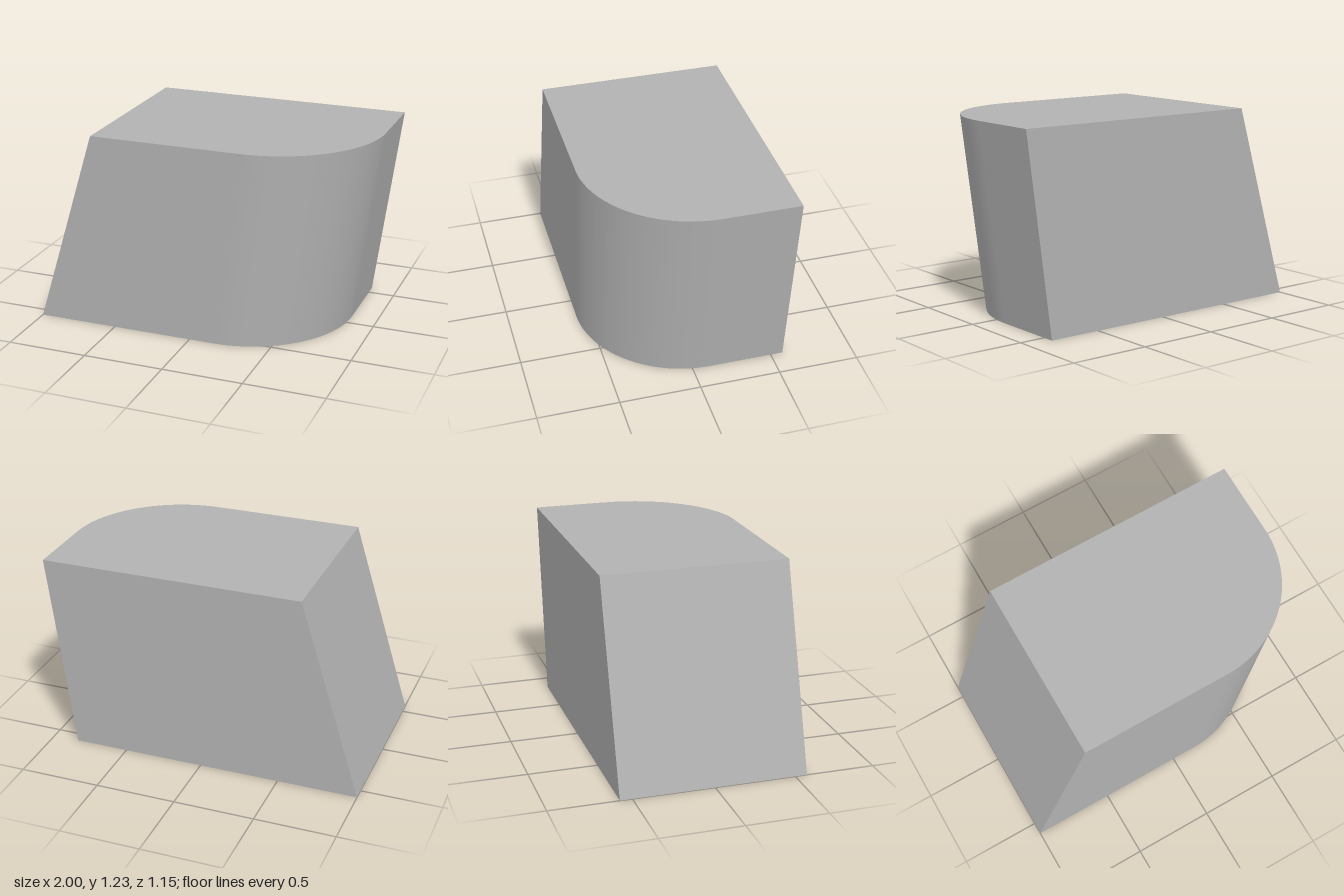
import * as THREE from 'three';

const HEIGHT = 1.226;
const HALF_DEPTH = 0.575;
const RADIUS = 0.68;
const LEFT = -1;
const RIGHT = 0.835;
const LEFT_LEAN = 0.375;
const RIGHT_LEAN = 0.165;

export function createModel() {
  const group = new THREE.Group();
  group.name = 'slantedBlock';
  const grey = new THREE.MeshStandardMaterial({ color: 0xb2b2b2 });
  grey.name = 'grey';

  // Footprint with one rounded front corner (shape y is -z)
  const footprint = new THREE.Shape();
  footprint.moveTo(LEFT, HALF_DEPTH);
  footprint.lineTo(LEFT, -HALF_DEPTH);
  footprint.lineTo(RIGHT - RADIUS, -HALF_DEPTH);
  footprint.absarc(RIGHT - RADIUS, RADIUS - HALF_DEPTH, RADIUS, -Math.PI / 2, 0, false);
  footprint.lineTo(RIGHT, HALF_DEPTH);
  footprint.closePath();

  const geometry = new THREE.ExtrudeGeometry(footprint, {
    depth: HEIGHT, bevelEnabled: false, curveSegments: 20,
  });
  geometry.rotateX(-Math.PI / 2);

  // Lean the sides: the flat end leans more than the rounded end
  const pos = geometry.attributes.position;
  for (let i = 0; i < pos.count; i++) {
    const x = pos.getX(i);
    const lean = x < LEFT + 0.01 ? LEFT_LEAN : RIGHT_LEAN;
    pos.setX(i, x + lean * pos.getY(i) / HEIGHT);
  }
  geometry.computeVertexNormals();

  const block = new THREE.Mesh(geometry, grey);
  block.name = 'block';
  group.add(block);
  return group;
}
